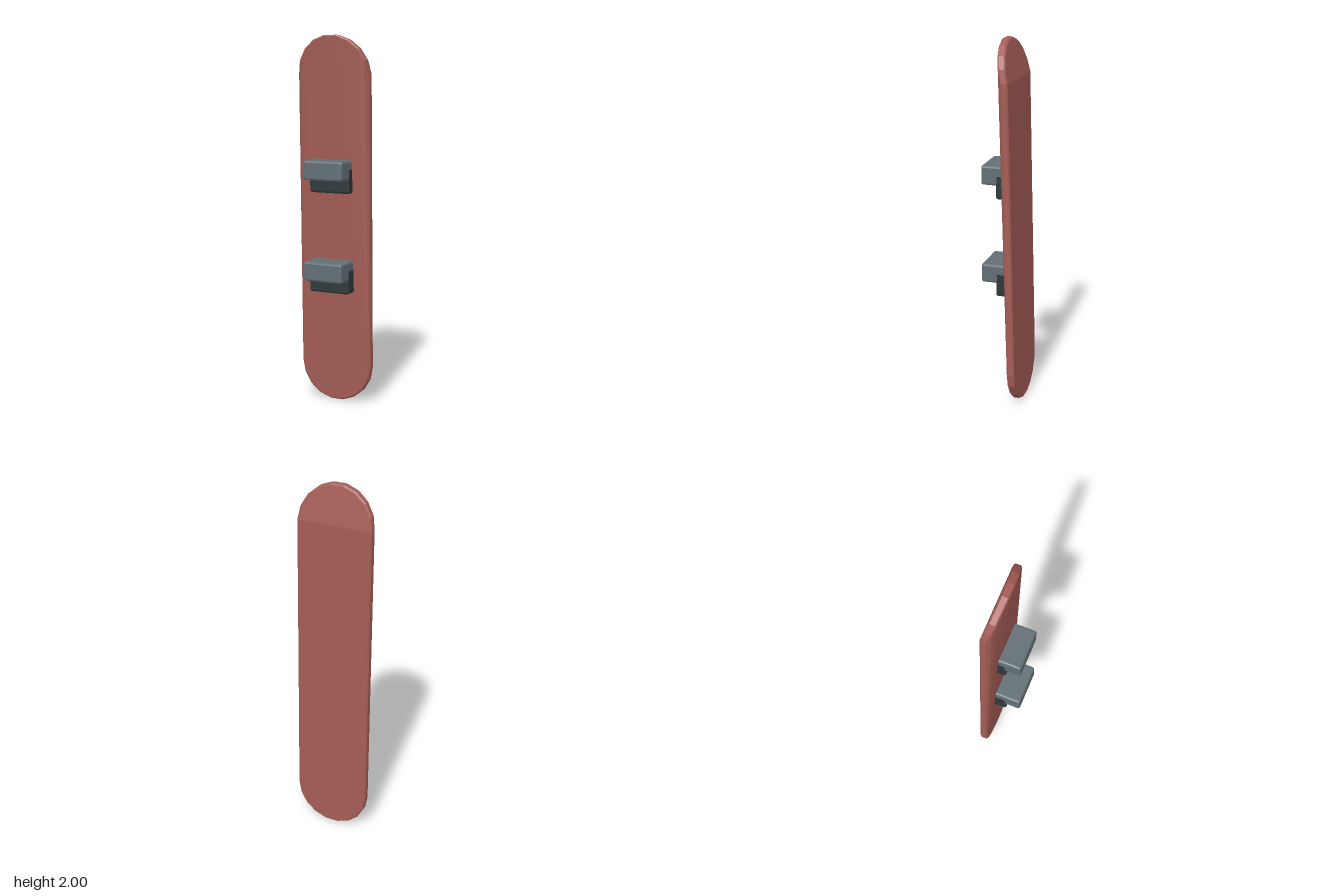
import * as THREE from 'three';
import { ConvexGeometry } from 'three/addons/geometries/ConvexGeometry.js';
import { RoundedBoxGeometry } from 'three/addons/geometries/RoundedBoxGeometry.js';

const RADIUS = 0.208, THICKNESS = 0.042, BEVEL = 0.007;
const KICK_Y = 1.795;

const paint = (name, color) => {
  const m = new THREE.MeshStandardMaterial({ color });
  m.name = name;
  return m;
};

// Front surface depth: a gentle lean, then the nose kicks forward
const frontZ = (y) => -0.067 + 0.0233 * y + Math.max(0, y - KICK_Y) * 0.178;

// Rounded board outline, ten points at each end
function outline(inset) {
  const r = RADIUS - inset, points = [];
  for (const [centre, sign] of [[KICK_Y, 1], [0.205, -1]]) {
    for (let i = 0; i < 10; i++) {
      const a = (i * Math.PI) / 9;
      points.push([r * Math.cos(a), centre + sign * r * Math.sin(a)]);
    }
  }
  return points;
}

// Board: four rings (bevelled front and back edges) closed as one faceted solid
function boardGeometry() {
  const rings = [[BEVEL, 0], [0, BEVEL], [0, THICKNESS - BEVEL], [BEVEL, THICKNESS]];
  const points = [];
  for (const [inset, depth] of rings) {
    for (const [x, y] of outline(inset)) points.push(new THREE.Vector3(x, y, frontZ(y) - depth));
  }
  return new ConvexGeometry(points);
}

// Block with small flat chamfers, given by its extents
function block(name, halfWidth, y0, y1, z0, z1, material) {
  const g = new RoundedBoxGeometry(halfWidth * 2, y1 - y0, z1 - z0, 1, 0.011);
  const flat = g.index ? g.toNonIndexed() : g;
  flat.computeVertexNormals();
  const mesh = new THREE.Mesh(flat, material);
  mesh.name = name;
  mesh.position.set(0, (y0 + y1) / 2, (z0 + z1) / 2);
  return mesh;
}

export function createModel() {
  const red = paint('board red', 0xa45c55);
  const grey = paint('binding grey', 0x626f75);
  const dark = paint('binding dark grey', 0x2f383b);

  const model = new THREE.Group();
  model.name = 'board';

  const deck = new THREE.Mesh(boardGeometry(), red);
  deck.name = 'deck';
  model.add(deck);

  // Two foot bindings, each a projecting strap over a darker base
  [['upperBinding', 1.165], ['lowerBinding', 0.62]].forEach(([name, y]) => {
    const binding = new THREE.Group();
    binding.name = name;
    binding.add(
      block('strap', 0.115, y + 0.073, y + 0.178, -0.06, 0.108, grey),
      block('base', 0.117, y, y + 0.135, -0.06, 0.026, dark)
    );
    model.add(binding);
  });
  return model;
}
